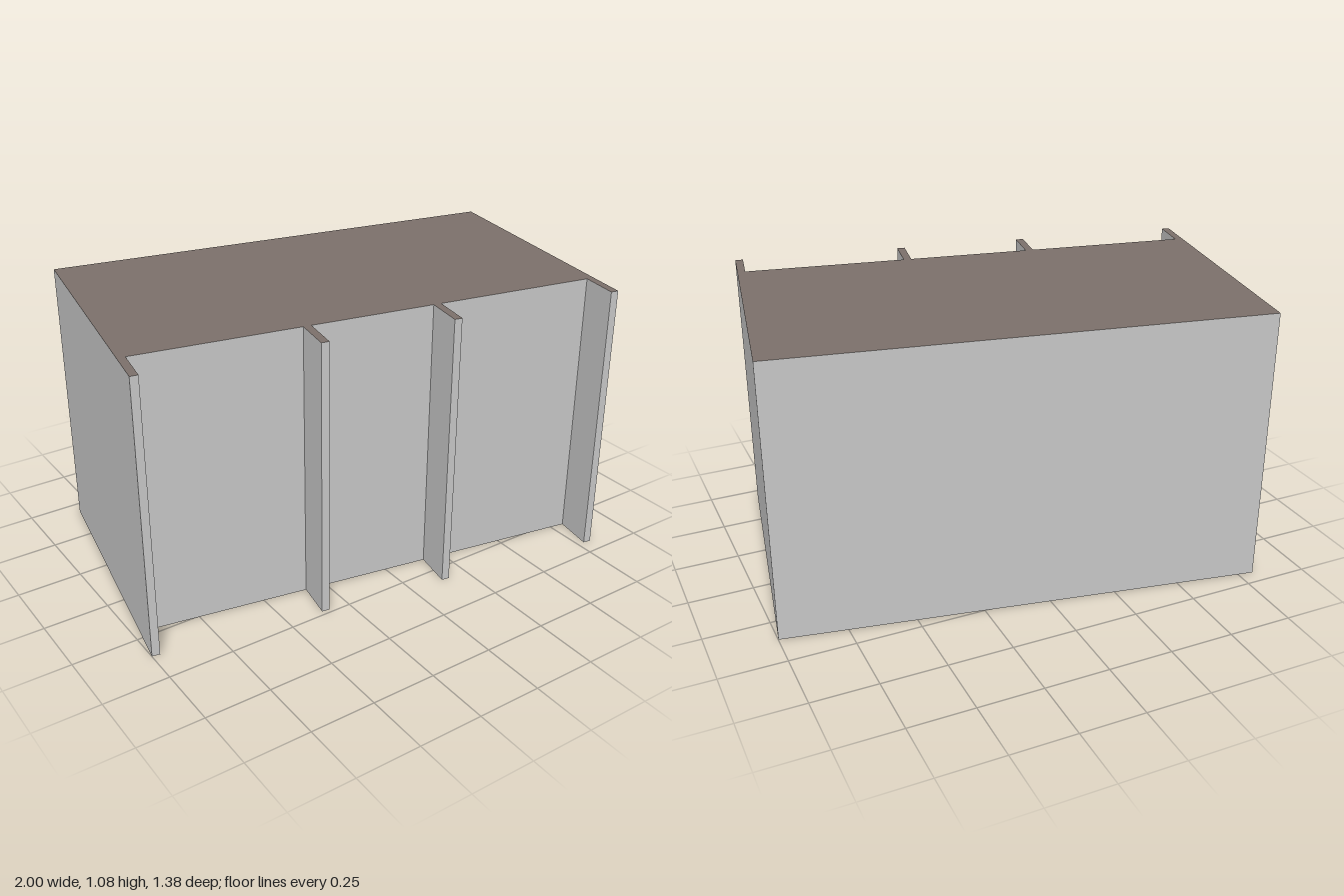
import * as THREE from 'three';

export function createModel() {
  const model = new THREE.Group();
  const wall = new THREE.MeshStandardMaterial({ name: 'wall grey', color: 0xc8c8c8 });
  const roof = new THREE.MeshStandardMaterial({ name: 'roof brown', color: 0x7c716b });

  const width = 1.838, height = 1.08, back = -0.536, front = 0.383, finFront = 0.536;
  const finWidth = 0.03;

  // Upright block with grey sides and underside, and a brown top
  function block(name, x, w, z0, z1) {
    const mesh = new THREE.Mesh(
      new THREE.BoxGeometry(w, height, z1 - z0),
      [wall, wall, roof, wall, wall, wall]
    );
    mesh.name = name;
    mesh.position.set(x, height / 2, (z0 + z1) / 2);
    return mesh;
  }

  // The whole building is turned slightly on its plot
  const building = new THREE.Group();
  building.name = 'building';
  building.rotation.y = -0.178;
  model.add(building);

  building.add(block('mainBody', 0, width, back, front));

  // Dividing fins along the front
  const edge = (width - finWidth) / 2;
  [-edge, -0.253, 0.251, edge].forEach((x, i) => {
    building.add(block('frontFin' + (i + 1), x, finWidth, front, finFront));
  });

  return model;
}
